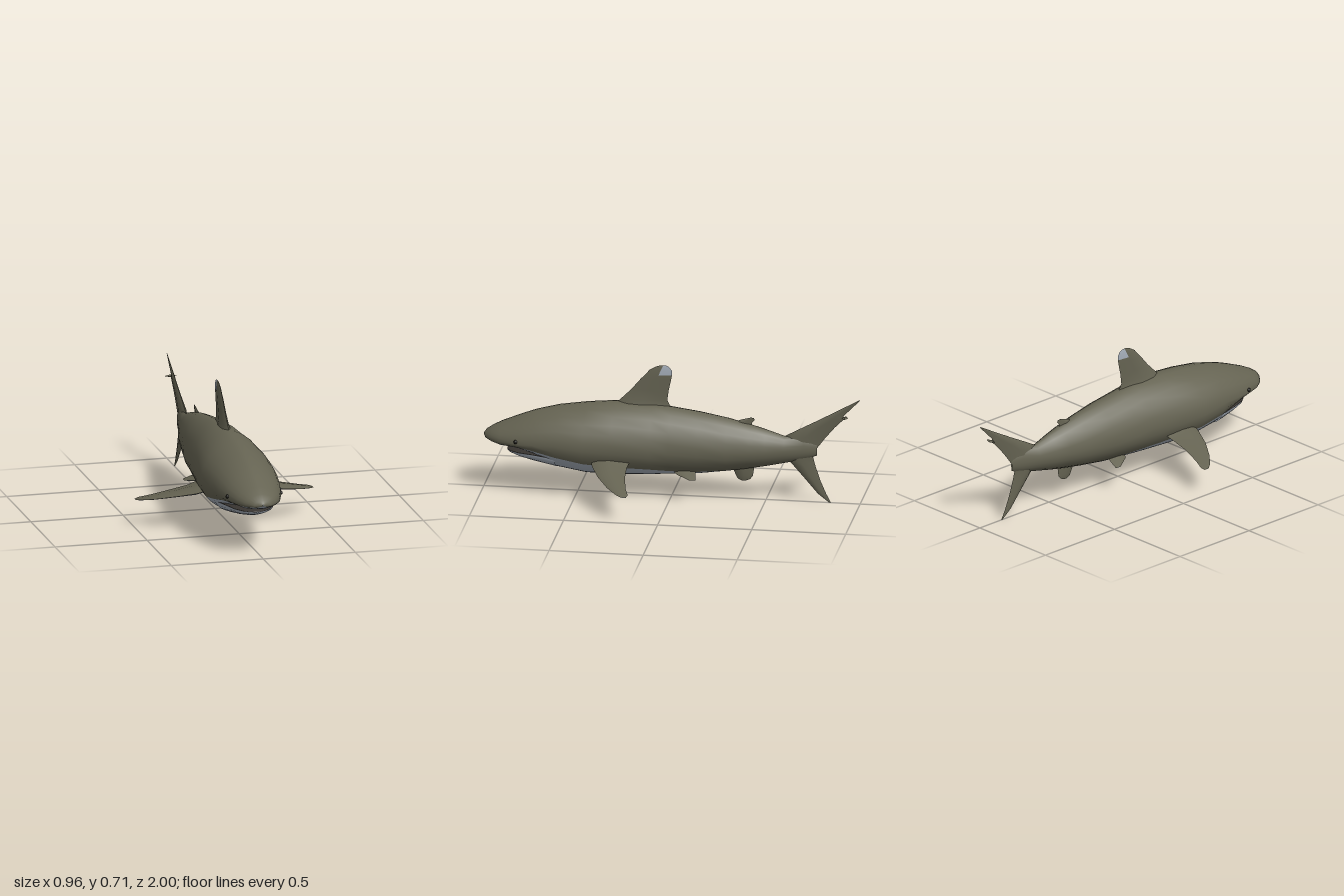
import * as THREE from 'three';

const paint = (name, color) => {
  const m = new THREE.MeshStandardMaterial({ color, side: THREE.DoubleSide });
  m.name = name;
  return m;
};

// Skin a list of rings; pick(i, j) gives the material index of each quad
function loft(name, rings, mats, { pick = () => 0, closed = false, flip = false } = {}) {
  const n = rings[0].length, cols = closed ? n : n - 1;
  const faces = mats.map(() => []);
  for (let i = 0; i < rings.length - 1; i++) {
    for (let j = 0; j < cols; j++) {
      const a = i * n + j, b = i * n + (j + 1) % n, c = a + n, d = b + n;
      faces[pick(i, j)].push(...(flip ? [a, b, c, b, d, c] : [a, c, b, b, c, d]));
    }
  }
  const geo = new THREE.BufferGeometry();
  geo.setAttribute('position', new THREE.Float32BufferAttribute(rings.flat(2), 3));
  geo.setIndex(faces.flat());
  let start = 0;
  faces.forEach((f, k) => { geo.addGroup(start, f.length, k); start += f.length; });
  geo.computeVertexNormals();
  const mesh = new THREE.Mesh(geo, mats);
  mesh.name = name;
  return mesh;
}

const LOW = 6, HIGH = 9, HALF = LOW + HIGH;

// Body cross-section from belly to back and round again, with a point row on the colour line
function section([z, top, mid, bottom, width, line]) {
  const split = Math.asin(THREE.MathUtils.clamp((line - mid) / (mid - bottom), -0.96, 0));
  const side = [];
  for (let k = 0; k <= HALF; k++) {
    const a = k <= LOW
      ? THREE.MathUtils.lerp(-Math.PI / 2, split, k / LOW)
      : THREE.MathUtils.lerp(split, Math.PI / 2, (k - LOW) / HIGH);
    const x = width * Math.pow(Math.max(Math.cos(a), 0), 1.25);
    const y = mid + Math.sin(a) * (a > 0 ? top - mid : mid - bottom);
    side.push([x, y, z]);
  }
  const other = side.slice(1, -1).reverse().map(([x, y, zz]) => [-x, y, zz]);
  return [...side, ...other];
}
const isLow = j => j < LOW || j >= 2 * HALF - LOW;

// Fin made of two curved faces; each section is [x, y, front z, rear z, half thickness]
const CHORD = [[0, 0], [0.2, 0.9], [0.5, 1], [1, 0]];
function fin(name, sections, axis, mats, pick = () => 0, mirror = 1) {
  const group = new THREE.Group();
  group.name = name;
  for (const s of [1, -1]) {
    const rings = sections.map(([x, y, z0, z1, t]) => CHORD.map(([u, h]) => {
      const off = s * h * t;
      return [mirror * (axis === 'x' ? x + off : x), axis === 'y' ? y + off : y, z0 + (z1 - z0) * u];
    }));
    const flip = (axis === 'x' ? s > 0 : s < 0) !== (mirror < 0);
    group.add(loft(name + (s > 0 ? 'FaceA' : 'FaceB'), rings, mats,
      { flip, pick: (i, j) => pick(i, j, s) }));
  }
  return group;
}
const upright = rows => rows.map(r => [0, ...r]);

export function createModel() {
  const skin = paint('olive grey skin', 0x656352);
  const pale = paint('pale underside', 0xa4adb8);
  const dark = paint('dark mouth', 0x383430);
  const black = paint('eye black', 0x191814);
  const model = new THREE.Group();
  model.name = 'shark';

  // Body: z, top, widest height, bottom, half width, colour line
  const body = [
    [1.0, 0.298, 0.293, 0.288, 0.001, 0.29],
    [0.985, 0.32, 0.29, 0.275, 0.045, 0.28],
    [0.95, 0.343, 0.29, 0.262, 0.085, 0.277],
    [0.9, 0.368, 0.29, 0.248, 0.118, 0.272],
    [0.8, 0.41, 0.29, 0.24, 0.15, 0.268],
    [0.72, 0.44, 0.29, 0.21, 0.168, 0.258],
    [0.6, 0.472, 0.29, 0.14, 0.188, 0.235],
    [0.45, 0.495, 0.29, 0.113, 0.197, 0.205],
    [0.3, 0.51, 0.29, 0.11, 0.187, 0.19],
    [0.1, 0.505, 0.285, 0.118, 0.162, 0.175],
    [0, 0.492, 0.28, 0.125, 0.15, 0.165],
    [-0.15, 0.472, 0.28, 0.135, 0.135, 0.16],
    [-0.3, 0.445, 0.28, 0.155, 0.108, 0.162],
    [-0.42, 0.415, 0.28, 0.175, 0.088, 0.18],
    [-0.5, 0.392, 0.28, 0.19, 0.07, 0.195],
    [-0.6, 0.36, 0.285, 0.212, 0.045, 0.217],
    [-0.7, 0.365, 0.29, 0.235, 0.024, 0.24],
    [-0.77, 0.33, 0.29, 0.26, 0.003, 0.265],
  ];
  model.add(loft('body', body.map(section), [skin, pale],
    { closed: true, pick: (i, j) => (i < 12 && isLow(j) ? 1 : 0) }));

  // Lower jaw with a dark mouth floor
  const jaw = [
    [0.875, 0.224, 0.222, 0.22, 0.001, 0.222],
    [0.868, 0.23, 0.225, 0.213, 0.035, 0.225],
    [0.85, 0.233, 0.226, 0.204, 0.066, 0.226],
    [0.8, 0.238, 0.228, 0.188, 0.105, 0.228],
    [0.72, 0.245, 0.23, 0.168, 0.135, 0.23],
    [0.6, 0.24, 0.22, 0.143, 0.155, 0.22],
  ];
  model.add(loft('lowerJaw', jaw.map(section), [pale, dark],
    { closed: true, pick: (i, j) => (isLow(j) ? 0 : 1) }));

  // Main back fin with a pale tip
  model.add(fin('dorsalFin', upright([
    [0.48, 0.31, 0, 0.03], [0.525, 0.27, 0.025, 0.018], [0.58, 0.215, 0.018, 0.014],
    [0.64, 0.165, 0.005, 0.011], [0.665, 0.14, 0, 0.009], [0.69, 0.12, 0, 0.007],
    [0.71, 0.085, 0.015, 0.004], [0.718, 0.06, 0.03, 0.001],
  ]), 'x', [skin, pale], (i, j) => (i >= 4 && j >= 2 ? 1 : 0)));

  // Small back fin and the fin below it
  model.add(fin('secondDorsalFin', upright([
    [0.38, -0.3, -0.43, 0.012], [0.425, -0.33, -0.425, 0.008],
    [0.44, -0.37, -0.44, 0.004], [0.452, -0.415, -0.435, 0.001],
  ]), 'x', [skin]));
  model.add(fin('analFin', upright([
    [0.102, -0.37, -0.39, 0.001], [0.112, -0.35, -0.415, 0.004], [0.13, -0.34, -0.43, 0.007],
    [0.165, -0.325, -0.435, 0.01], [0.2, -0.3, -0.44, 0.012],
  ]), 'x', [skin]));

  // Tail fin, lower tip to upper tip
  model.add(fin('tailFin', upright([
    [0.003, -0.835, -0.845, 0.001], [0.05, -0.775, -0.82, 0.004], [0.12, -0.715, -0.79, 0.007],
    [0.2, -0.645, -0.763, 0.012], [0.25, -0.6, -0.75, 0.018], [0.3, -0.6, -0.77, 0.022],
    [0.36, -0.6, -0.815, 0.016], [0.42, -0.71, -0.865, 0.01], [0.46, -0.785, -0.905, 0.008],
    [0.475, -0.81, -0.92, 0.007], [0.485, -0.83, -0.91, 0.007], [0.53, -0.91, -0.955, 0.004],
    [0.577, -0.993, -1.0, 0.001],
  ]), 'x', [skin]));
  const spur = new THREE.Mesh(new THREE.OctahedronGeometry(1), skin);
  spur.name = 'tailSpur';
  spur.scale.set(0.033, 0.008, 0.016);
  spur.position.set(0, 0.475, -0.92);
  model.add(spur);

  // Paired fins, pale underneath, and eyes
  for (const m of [1, -1]) {
    const side = m > 0 ? 'left' : 'right';
    const under = (i, j, s) => (s > 0 ? 0 : 1);
    model.add(fin(side + 'PectoralFin', [
      [0.14, 0.228, 0.41, 0.2, 0.022], [0.2, 0.207, 0.395, 0.21, 0.018],
      [0.3, 0.185, 0.35, 0.205, 0.012], [0.4, 0.16, 0.285, 0.185, 0.008],
      [0.46, 0.145, 0.23, 0.165, 0.005], [0.482, 0.139, 0.2, 0.172, 0.001],
    ], 'y', [skin, pale], under, m));
    model.add(fin(side + 'PelvicFin', [
      [0.05, 0.17, 0, -0.13, 0.014], [0.1, 0.151, -0.04, -0.14, 0.008],
      [0.138, 0.135, -0.11, -0.145, 0.001],
    ], 'y', [skin, pale], under, m));
    const eye = new THREE.Mesh(new THREE.SphereGeometry(0.011, 12, 8), black);
    eye.name = side + 'Eye';
    eye.position.set(m * 0.144, 0.302, 0.81);
    model.add(eye);
  }
  return model;
}
